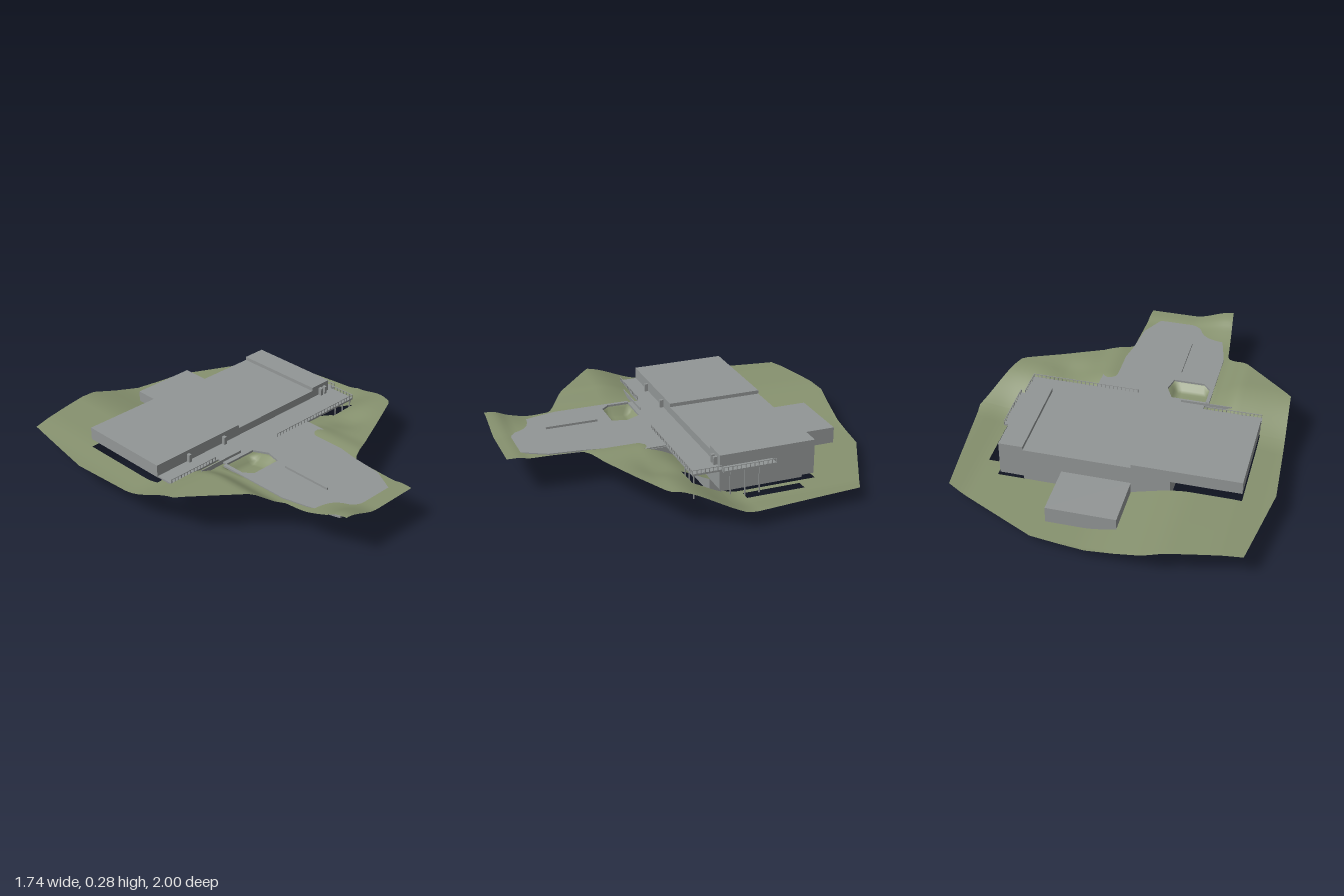
import * as THREE from 'three';

const concrete = new THREE.MeshStandardMaterial({ color: 0x929696, side: THREE.DoubleSide });
concrete.name = 'concrete grey';
const grass = new THREE.MeshStandardMaterial({ color: 0x87926f, side: THREE.DoubleSide });
grass.name = 'grass olive';

// site boundary as [x, z], each side running from back to front
const leftEdge = [[-0.31, -1], [-0.79, -0.9], [-0.87, -0.42], [-0.83, 0.28], [-0.42, 0.63], [-0.38, 1]];
const rightEdge = [[-0.31, -1], [0.28, -0.92], [0.8, -0.66], [0.865, 0], [0.72, 0.35], [0.13, 0.61], [0.11, 1]];
// openings in the ground: [x0, x1, z0, z1]
const openings = [
  [-0.71, 0.585, -0.51, 0.02],
  [0.45, 0.6, 0.02, 0.18],
  [0.615, 0.67, -0.41, -0.09],
];

const smooth = (a, b, v) => {
  const t = Math.min(1, Math.max(0, (v - a) / (b - a)));
  return t * t * (3 - 2 * t);
};

function edgeX(edge, z) {
  for (let i = 1; i < edge.length; i++) {
    const [x0, z0] = edge[i - 1], [x1, z1] = edge[i];
    if (z <= z1 + 1e-6) return x0 + (x1 - x0) * (z - z0) / (z1 - z0);
  }
  return edge[edge.length - 1][0];
}

// upper ground in front, lower ground behind, smooth bank between
function groundHeight(x, z) {
  const back = 0.065 + 0.095 * smooth(0.05, -0.45, x) - 0.012 * smooth(-0.65, -0.85, x) + 0.022 * smooth(0.68, 0.865, x);
  let front = 0.206 + 0.059 * smooth(-0.42, -0.56, x);
  front += 0.059 * smooth(0.72, 1, z) * smooth(-0.15, -0.38, x) + 0.012 * smooth(0.87, 0.95, z);
  front += 0.012 * smooth(0.1, 0.2, x) * smooth(0.65, 0.55, z) * smooth(0.3, 0.2, x);
  const pit = 0.05 * smooth(-0.39, -0.36, x) * smooth(-0.15, -0.2, x) * smooth(0.35, 0.31, z) * smooth(0.15, 0.2, z);
  const dip = 0.03 * Math.exp(-(((x - 0.42) / 0.12) ** 2) - (((z - 0.3) / 0.1) ** 2));
  const bank = smooth(-0.08, 0.32, z);
  return back + (front - back) * bank - pit - dip;
}

function gridLines(from, to, extra) {
  const step = 0.02, list = extra.slice();
  for (let i = 0; i <= Math.round((to - from) / step); i++) {
    const v = from + i * step;
    if (extra.every((e) => Math.abs(e - v) > 0.007)) list.push(v);
  }
  return list.sort((a, b) => a - b);
}

function buildGround() {
  const xs = gridLines(-0.88, 0.88, openings.flatMap((o) => [o[0], o[1]]));
  const zs = gridLines(-1, 1, openings.flatMap((o) => [o[2], o[3]]).concat([-1, 1]));
  const pos = [], index = [], n = xs.length;
  zs.forEach((z) => {
    const l = edgeX(leftEdge, z), r = edgeX(rightEdge, z);
    xs.forEach((x) => {
      const cx = Math.min(r, Math.max(l, x));
      pos.push(cx, groundHeight(cx, z), z);
    });
  });
  for (let j = 0; j < zs.length - 1; j++) {
    for (let i = 0; i < n - 1; i++) {
      const a = j * n + i, b = a + 1, c = a + n, d = c + 1;
      const mx = (xs[i] + xs[i + 1]) / 2, mz = (zs[j] + zs[j + 1]) / 2;
      if (openings.some((o) => mx > o[0] && mx < o[1] && mz > o[2] && mz < o[3])) continue;
      if (pos[b * 3] - pos[a * 3] > 1e-6) index.push(a, d, b);
      if (pos[d * 3] - pos[c * 3] > 1e-6) index.push(a, c, d);
    }
  }
  const geo = new THREE.BufferGeometry();
  geo.setAttribute('position', new THREE.Float32BufferAttribute(pos, 3));
  geo.setIndex(index);
  geo.computeVertexNormals();
  const mesh = new THREE.Mesh(geo, grass);
  mesh.name = 'ground';
  return mesh;
}

// box given by its limits on each axis
function block(parent, name, x0, x1, y0, y1, z0, z1) {
  const mesh = new THREE.Mesh(new THREE.BoxGeometry(x1 - x0, y1 - y0, z1 - z0), concrete);
  mesh.position.set((x0 + x1) / 2, (y0 + y1) / 2, (z0 + z1) / 2);
  mesh.name = name;
  parent.add(mesh);
}

// posts and a top rail between two points on the deck
function railing(parent, x0, z0, x1, z1, posts) {
  const g = new THREE.Group();
  g.name = 'railing';
  for (let i = 0; i <= posts; i++) {
    const x = x0 + (x1 - x0) * i / posts, z = z0 + (z1 - z0) * i / posts;
    block(g, 'railPost', x - 0.002, x + 0.002, 0.21, 0.232, z - 0.002, z + 0.002);
  }
  block(g, 'topRail', x0 - 0.002, x1 + 0.002, 0.23, 0.233, Math.min(z0, z1) - 0.002, Math.max(z0, z1) + 0.002);
  parent.add(g);
}

export function createModel() {
  const model = new THREE.Group();
  model.name = 'hillsideBuilding';
  model.add(buildGround());

  // main halls, stepped roofs
  block(model, 'basement', -0.135, 0.44, 0, 0.09, -0.51, 0.02);
  block(model, 'lowerFloor', -0.34, 0.57, 0.085, 0.205, -0.51, 0.02);
  block(model, 'leftWing', -0.71, -0.135, 0.205, 0.275, -0.51, 0.02);
  block(model, 'middleHall', -0.135, 0.44, 0.205, 0.255, -0.51, 0.02);
  block(model, 'rightWing', 0.44, 0.57, 0.205, 0.275, -0.51, 0.02);
  block(model, 'rearAnnex', -0.135, 0.235, 0.06, 0.155, -0.8, -0.51);
  block(model, 'frontCellar', -0.135, 0.235, 0.085, 0.205, 0.02, 0.31);

  // terrace and side balcony
  block(model, 'terraceLeft', -0.705, -0.38, 0.202, 0.212, 0.02, 0.12);
  block(model, 'terrace', -0.38, 0.6, 0.202, 0.212, 0.02, 0.18);
  block(model, 'balcony', 0.57, 0.625, 0.202, 0.212, -0.27, 0.02);

  // forecourt slab with a sunken planting bed
  const outline = [[-0.4, 0.18], [0.23, 0.18], [0.23, 0.38], [0.17, 0.4], [0.13, 0.6], [0.11, 0.78],
    [0.04, 0.91], [-0.32, 0.91], [-0.37, 0.73], [-0.4, 0.6]];
  const bed = [[-0.38, 0.182], [-0.38, 0.3], [-0.34, 0.345], [-0.17, 0.345], [-0.15, 0.26], [-0.19, 0.182]];
  const shape = new THREE.Shape(outline.map(([x, z]) => new THREE.Vector2(x, z)));
  shape.holes.push(new THREE.Path(bed.map(([x, z]) => new THREE.Vector2(x, z))));
  const slab = new THREE.ExtrudeGeometry(shape, { depth: 0.011, bevelEnabled: false });
  slab.rotateX(Math.PI / 2).translate(0, 0.212, 0);
  const forecourt = new THREE.Mesh(slab, concrete);
  forecourt.name = 'forecourt';
  model.add(forecourt);

  // low walls on the forecourt
  block(model, 'forecourtWall', -0.195, -0.189, 0.21, 0.224, 0.42, 0.71);
  block(model, 'terraceWall', -0.53, -0.25, 0.2, 0.226, 0.152, 0.156);

  // railings
  railing(model, 0.0, 0.178, 0.598, 0.178, 26);
  railing(model, 0.598, 0.02, 0.598, 0.178, 7);
  railing(model, 0.622, -0.27, 0.622, 0.02, 12);
  railing(model, -0.7, 0.118, -0.4, 0.118, 14);

  // entrance piers
  for (const x of [-0.5, -0.25, 0.5, 0.53]) block(model, 'entrancePier', x - 0.008, x + 0.008, 0.21, 0.255, 0.02, 0.04);

  // columns under the terrace and balcony
  for (const z of [-0.18, -0.1, -0.02]) block(model, 'column', 0.612, 0.618, 0.055, 0.205, z - 0.003, z + 0.003);
  for (const x of [0.47, 0.53, 0.59]) block(model, 'column', x - 0.003, x + 0.003, 0.07, 0.205, 0.165, 0.171);

  return model;
}
